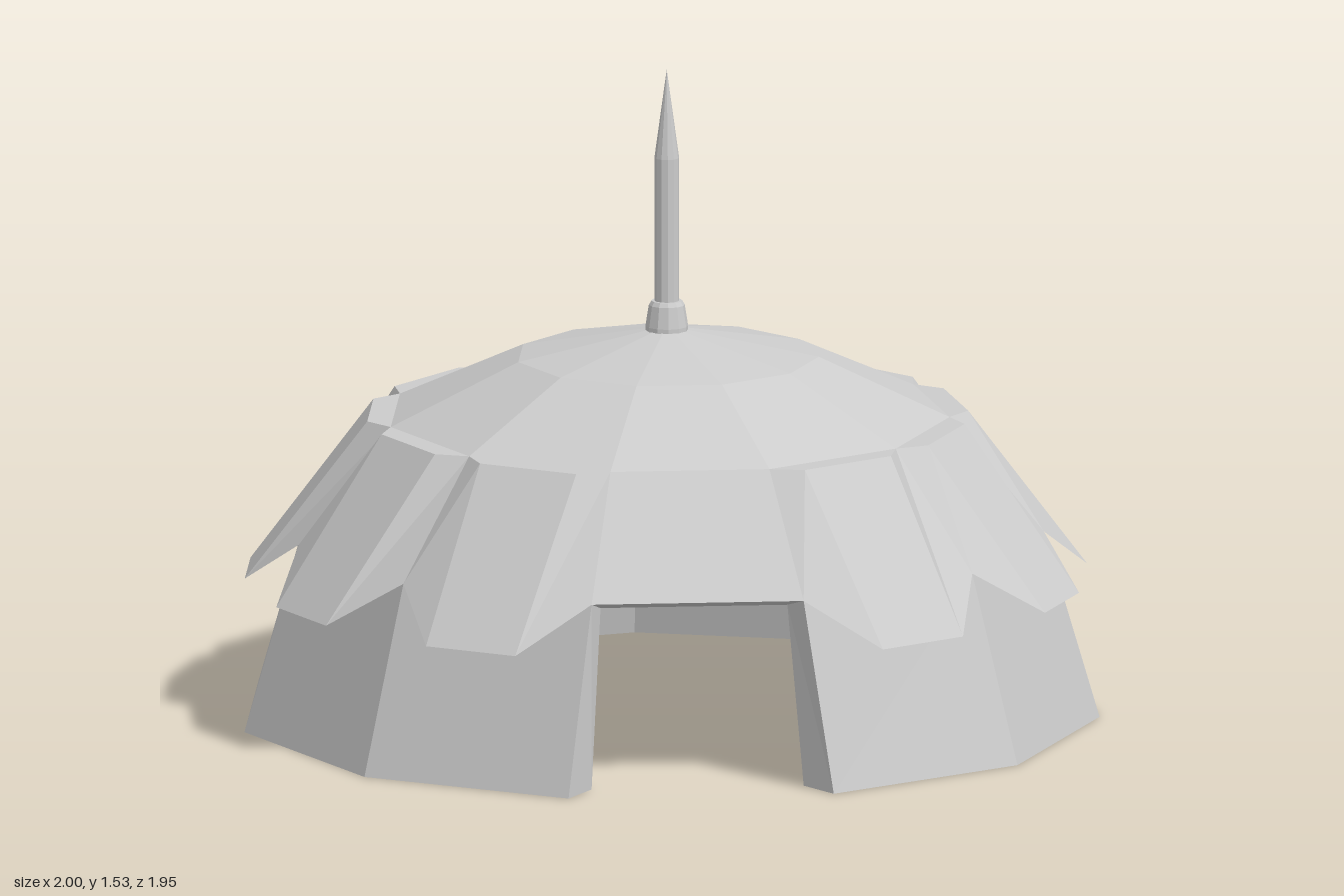
import * as THREE from 'three';

const SIDES = 11, STEP = (Math.PI * 2) / SIDES, CZ = 0.03;
const DOOR = 5; // index of the front panel
const DEG = Math.PI / 180;

const material = () => new THREE.MeshStandardMaterial({ color: 0xcccccc, flatShading: true });

// Point at an angle counted from the back, around the dome's axis
const polar = (angle, r, y) => [r * Math.sin(angle), y, CZ - r * Math.cos(angle)];

function facetMesh(name, build) {
  const pos = [];
  const quad = (a, b, c, d) => pos.push(...a, ...b, ...c, ...a, ...c, ...d);
  const tri = (a, b, c) => pos.push(...a, ...b, ...c);
  build(quad, tri);
  const g = new THREE.BufferGeometry();
  g.setAttribute('position', new THREE.Float32BufferAttribute(pos, 3));
  g.computeVertexNormals();
  const mesh = new THREE.Mesh(g, material());
  mesh.name = name;
  return mesh;
}

// Profiles from the ground up: [radius, height]
const OUTER = [[1.01, 0], [0.88, 0.44], [0.66, 0.71], [0.355, 0.85], [0, 0.92]];
const INNER = [[0.88, 0], [0.775, 0.41], [0.575, 0.63], [0.31, 0.75], [0, 0.81]];

function ringPoint(profile, level, k) {
  const [r, y] = profile[level];
  // the door posts spread slightly at the ground
  if (profile === OUTER && level === 0 && (k === DOOR || k === DOOR + 1)) {
    return [k === DOOR ? 0.31 : -0.31, 0, 0.97];
  }
  return polar(k * STEP, r, y);
}
const out = (level, k) => ringPoint(OUTER, level, k);
const inn = (level, k) => ringPoint(INNER, level, k);

// Thick faceted shell with a doorway
function buildDome(quad, tri) {
  for (let k = 0; k < SIDES; k++) {
    const n = k + 1;
    for (let l = 0; l < 3; l++) {
      if (k === DOOR && l === 0) continue;
      quad(out(l, n), out(l, k), out(l + 1, k), out(l + 1, n));
      quad(inn(l, k), inn(l, n), inn(l + 1, n), inn(l + 1, k));
    }
    tri(out(3, n), out(3, k), out(4, k));
    tri(inn(3, k), inn(3, n), inn(4, k));
    // ground rim, or the lintel over the door
    const l = k === DOOR ? 1 : 0;
    quad(out(l, k), out(l, n), inn(l, n), inn(l, k));
  }
  // door jambs
  const a = DOOR, b = DOOR + 1;
  quad(out(0, a), out(1, a), inn(1, a), inn(0, a));
  quad(inn(0, b), inn(1, b), out(1, b), out(0, b));
}

// Flared panel raised from one middle face of the dome
function buildFlap(k, quad) {
  const n = k + 1;
  const lowA = out(1, k), lowB = out(1, n), topA = out(2, k), topB = out(2, n);
  const a = polar(k * STEP + 9.5 * DEG, 0.985, 0.33);
  const b = polar(n * STEP - 9.5 * DEG, 0.985, 0.33);
  const ta = polar(k * STEP + 6 * DEG, 0.703, 0.71);
  const tb = polar(n * STEP - 6 * DEG, 0.703, 0.71);
  quad(b, a, ta, tb);
  quad(a, lowA, topA, ta);
  quad(lowB, b, tb, topB);
  quad(tb, ta, topA, topB);
  quad(lowB, lowA, a, b);
}

export function createModel() {
  const model = new THREE.Group();
  model.name = 'domedHut';

  model.add(facetMesh('domeShell', buildDome));

  // Ring of flaps, left out above the door
  const flaps = new THREE.Group();
  flaps.name = 'roofFlaps';
  for (let k = 0; k < SIDES; k++) {
    if (k !== DOOR) flaps.add(facetMesh('roofFlap', (quad) => buildFlap(k, quad)));
  }
  model.add(flaps);

  // Spire: collar, pole and pointed tip
  const profile = [[0, 0.9], [0.05, 0.9], [0.05, 0.92], [0.042, 0.97], [0.036, 0.98],
    [0.029, 0.98], [0.029, 1.32], [0, 1.53]].map(([x, y]) => new THREE.Vector2(x, y));
  const spire = new THREE.Mesh(new THREE.LatheGeometry(profile, 12), material());
  spire.name = 'spire';
  spire.position.z = CZ;
  model.add(spire);

  return model;
}
